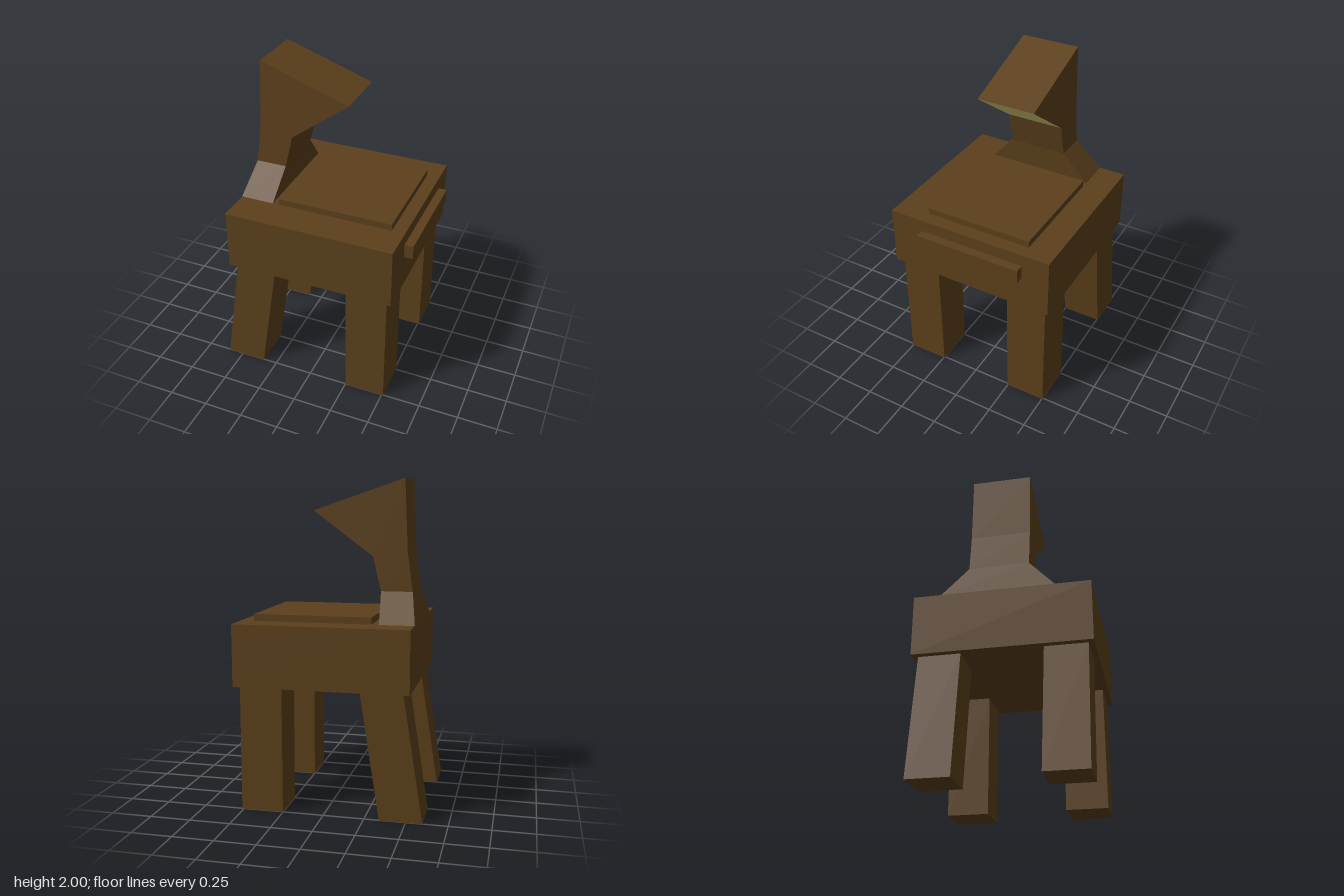
import * as THREE from 'three';

// Closed solid through four-cornered sections, listed from bottom to top.
// Each section: fore [x, y], aft [x, y], z [min, max].
// The fore face of the last span can take material 1.
function loft(sections, paintLast = false) {
  const rings = sections.map(({ fore, aft, z }) => [
    [...fore, z[1]], [...fore, z[0]], [...aft, z[0]], [...aft, z[1]],
  ]);
  const positions = [];
  const quad = (a, b, c, d) => positions.push(...a, ...b, ...c, ...a, ...c, ...d);
  const last = rings.length - 1;
  quad(...[...rings[0]].reverse());
  quad(...rings[last]);
  for (let r = 0; r < last; r++) {
    for (let i = 1; i <= 4; i++) {
      const p = i % 4, q = (i + 1) % 4; // fore face comes last
      quad(rings[r][p], rings[r][q], rings[r + 1][q], rings[r + 1][p]);
    }
  }
  const geometry = new THREE.BufferGeometry();
  geometry.setAttribute('position', new THREE.Float32BufferAttribute(positions, 3));
  geometry.computeVertexNormals();
  if (paintLast) {
    const count = positions.length / 3;
    geometry.addGroup(0, count - 6, 0);
    geometry.addGroup(count - 6, 6, 1);
  }
  return geometry;
}

export function createModel() {
  const model = new THREE.Group();
  const brown = new THREE.MeshStandardMaterial({ color: 0x5c401b });
  brown.name = 'brown';
  const paleYellow = new THREE.MeshStandardMaterial({ color: 0xe0d27b });
  paleYellow.name = 'pale yellow';

  const add = (name, geometry, material = brown) => {
    const mesh = new THREE.Mesh(geometry, material);
    mesh.name = name;
    model.add(mesh);
  };
  const box = (name, [x0, x1], [y0, y1], [z0, z1]) => {
    const geometry = new THREE.BoxGeometry(x1 - x0, y1 - y0, z1 - z0);
    geometry.translate((x0 + x1) / 2, (y0 + y1) / 2, (z0 + z1) / 2);
    add(name, geometry);
  };

  // Body block, raised top panel and end bar
  box('body', [-0.52, 0.545], [0.77, 1.148], [-0.538, 0.537]);
  box('topPanel', [-0.265, 0.463], [1.148, 1.19], [-0.365, 0.322]);
  box('endBar', [0.545, 0.6], [0.983, 1.07], [-0.365, 0.322]);

  // Two straight legs and two slanted legs
  for (const [side, z] of [['Left', [0.245, 0.503]], ['Right', [-0.505, -0.247]]]) {
    box('straightLeg' + side, [0.25, 0.51], [0, 0.77], z);
    add('slantedLeg' + side, loft([
      { fore: [-0.342, 0], aft: [-0.6, 0], z },
      { fore: [-0.222, 0.77], aft: [-0.479, 0.77], z },
    ]));
  }

  // Flared neck base
  const neckZ = [-0.207, 0.163];
  const collar = { fore: [-0.29, 1.33], aft: [-0.483, 1.33], z: neckZ };
  add('neckBase', loft([
    { fore: [-0.308, 1.148], aft: [-0.52, 1.148], z: [-0.367, 0.322] },
    collar,
  ]));

  // Neck and wedge head with a pale underside
  add('neckAndHead', loft([
    collar,
    { fore: [-0.24, 1.538], aft: [-0.449, 1.57], z: neckZ },
    { fore: [0.126, 1.81], aft: [-0.43, 2], z: neckZ },
  ], true), [brown, paleYellow]);

  return model;
}
